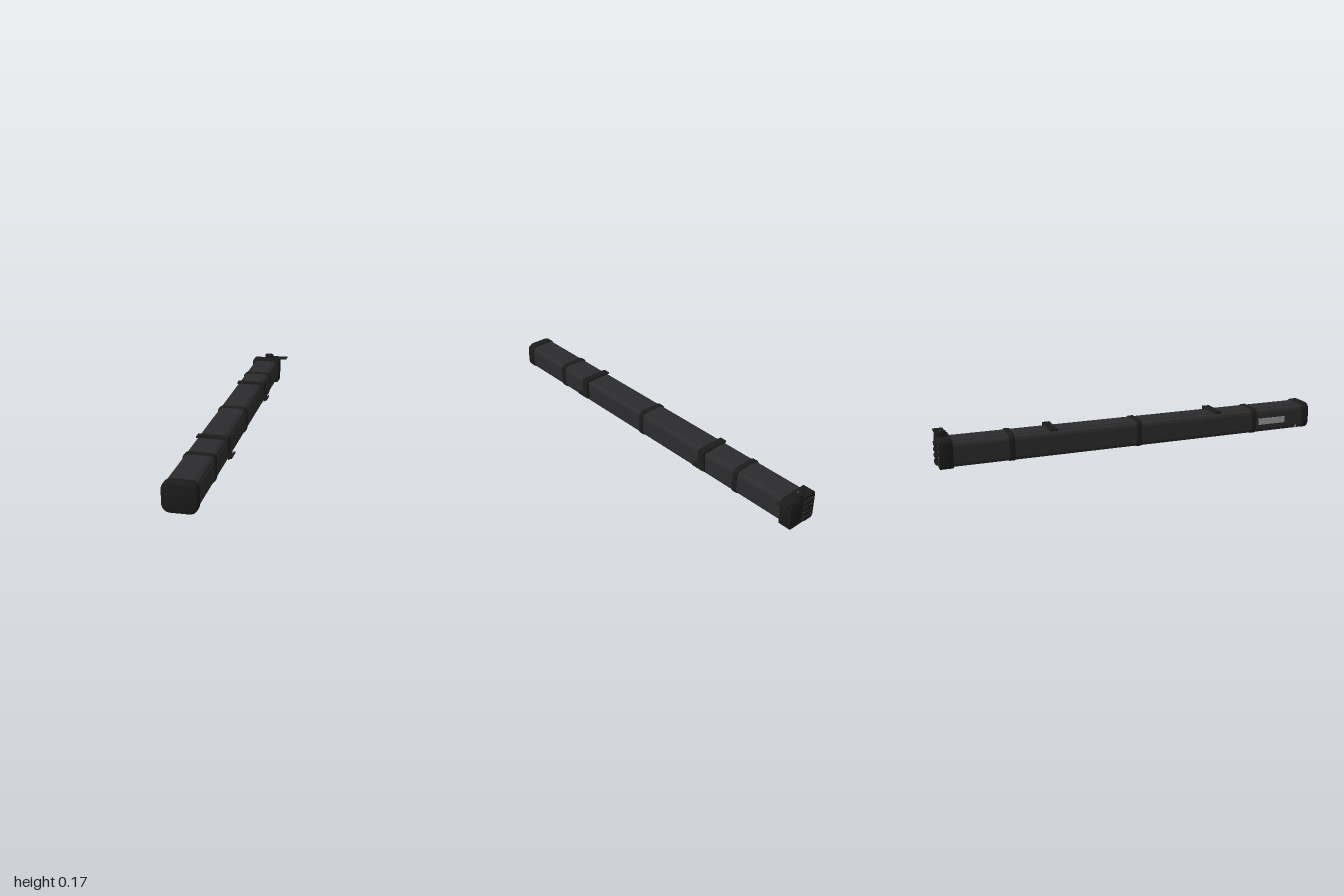
import * as THREE from 'three';
import { toCreasedNormals } from 'three/addons/utils/BufferGeometryUtils.js';
import { RoundedBoxGeometry } from 'three/addons/geometries/RoundedBoxGeometry.js';

const mat = (color) => new THREE.MeshStandardMaterial({ color });
const shell = mat(0x2c2c2e), trim = mat(0x1c1c1d), pale = mat(0x9a9a9a);

function roundedRect(x0, x1, y0, y1, r) {
  const s = new THREE.Shape();
  s.absarc(x1 - r, y0 + r, r, -Math.PI / 2, 0);
  s.absarc(x1 - r, y1 - r, r, 0, Math.PI / 2);
  s.absarc(x0 + r, y1 - r, r, Math.PI / 2, Math.PI);
  s.absarc(x0 + r, y0 + r, r, Math.PI, Math.PI * 1.5);
  s.closePath();
  return s;
}

export function createModel() {
  const group = new THREE.Group();
  group.name = 'longCase';

  const add = (parent, name, geometry, material, x = 0, y = 0, z = 0) => {
    const mesh = new THREE.Mesh(geometry, material);
    mesh.name = name;
    mesh.position.set(x, y, z);
    parent.add(mesh);
    return mesh;
  };
  // box given by its limits on each axis
  const box = (parent, name, [x0, x1], [y0, y1], [z0, z1], material = trim) =>
    add(parent, name, new THREE.BoxGeometry(x1 - x0, y1 - y0, z1 - z0), material,
      (x0 + x1) / 2, (y0 + y1) / 2, (z0 + z1) / 2);
  // rounded section running along z; the bevel stays inside the limits
  const prism = (name, [x0, x1], [y0, y1], [z0, z1], r, material, bevel = 0) => {
    const shape = roundedRect(x0 + bevel, x1 - bevel, y0 + bevel, y1 - bevel, r - bevel);
    const geo = new THREE.ExtrudeGeometry(shape, {
      depth: z1 - z0 - 2 * bevel, curveSegments: 8, bevelEnabled: bevel > 0,
      bevelSize: bevel, bevelThickness: bevel, bevelSegments: 4,
    });
    return add(group, name, toCreasedNormals(geo, 0.6), material, 0, 0, z0 + bevel);
  };

  // tube with raised panels on top, bottom and both sides
  prism('body', [-0.095, 0.045], [0.006, 0.131], [-0.94, 0.97], 0.022, shell);
  const panelZ = [-0.92, 0.96];
  box(group, 'topPanel', [-0.073, 0.023], [0.12, 0.133], panelZ, shell);
  box(group, 'bottomPanel', [-0.06, 0.012], [0, 0.012], panelZ, shell);
  box(group, 'leftPanel', [0.035, 0.047], [0.029, 0.108], panelZ, shell);
  box(group, 'rightPanel', [-0.097, -0.085], [0.029, 0.108], panelZ, shell);

  // end caps
  prism('frontCap', [-0.101, 0.055], [0.002, 0.141], [0.95, 1], 0.038, trim, 0.012);
  prism('backCap', [-0.103, 0.058], [0.003, 0.1425], [-0.985, -0.92], 0.013, trim, 0.004);

  // joining bands with a small clasp on the right side
  for (const z of [0.662, 0.008, -0.642]) {
    prism('band', [-0.1, 0.05], [0.003, 0.137], [z - 0.014, z + 0.014], 0.026, trim, 0.003);
    box(group, 'bandClasp', [-0.103, -0.096], [0.04, 0.062], [z - 0.009, z + 0.009]);
  }

  // hooked straps with a T-shaped catch on the left side
  for (const z of [0.452, -0.434]) {
    const strap = new THREE.Group();
    strap.name = 'strap';
    strap.position.z = z;
    group.add(strap);
    const w = [-0.019, 0.019];
    box(strap, 'strapTop', [-0.092, 0.06], [0.131, 0.14], w);
    box(strap, 'strapSide', [0.05, 0.06], [0.042, 0.135], w);
    box(strap, 'catchBlock', [0.044, 0.07], [0.042, 0.067], w);
    box(strap, 'catchInnerBar', [0.06, 0.066], [0.042, 0.066], [-0.032, 0.032]);
    box(strap, 'catchStem', [0.066, 0.076], [0.05, 0.058], [-0.012, 0.012]);
    box(strap, 'catchOuterBar', [0.072, 0.079], [0.05, 0.058], [-0.038, 0.038]);
  }

  // swivel knob and flat lever on the back cap
  const kx = -0.008, kz = -0.96;
  add(group, 'knob', new THREE.CylinderGeometry(0.025, 0.025, 0.024, 32), trim, kx, 0.153, kz);
  add(group, 'knobRim', new THREE.TorusGeometry(0.021, 0.003, 8, 32).rotateX(Math.PI / 2),
    trim, kx, 0.164, kz);
  add(group, 'knobPin', new THREE.CylinderGeometry(0.008, 0.008, 0.01, 16), trim, kx, 0.164, kz);
  add(group, 'knobPinTip', new THREE.SphereGeometry(0.003, 12, 8), pale, kx, 0.168, kz);
  box(group, 'lever', [kx, 0.101], [0.146, 0.151], [-0.984, -0.934]);

  // four ribs on the back face, each with a small stud
  for (let i = 0; i < 4; i++) {
    const y = 0.029 + i * 0.029;
    add(group, 'backRib', new RoundedBoxGeometry(0.056, 0.018, 0.022, 2, 0.004), trim, -0.048, y, -0.989);
    add(group, 'ribStud', new THREE.SphereGeometry(0.003, 10, 8), pale, -0.083, y, -0.985);
  }

  // plain plate and small peg on the right side
  box(group, 'sidePlate', [-0.099, -0.095], [0.048, 0.082], [0.69, 0.85], pale);
  add(group, 'peg', new THREE.CylinderGeometry(0.003, 0.003, 0.016, 10), pale, -0.098, 0.019, 0.92);

  return group;
}
